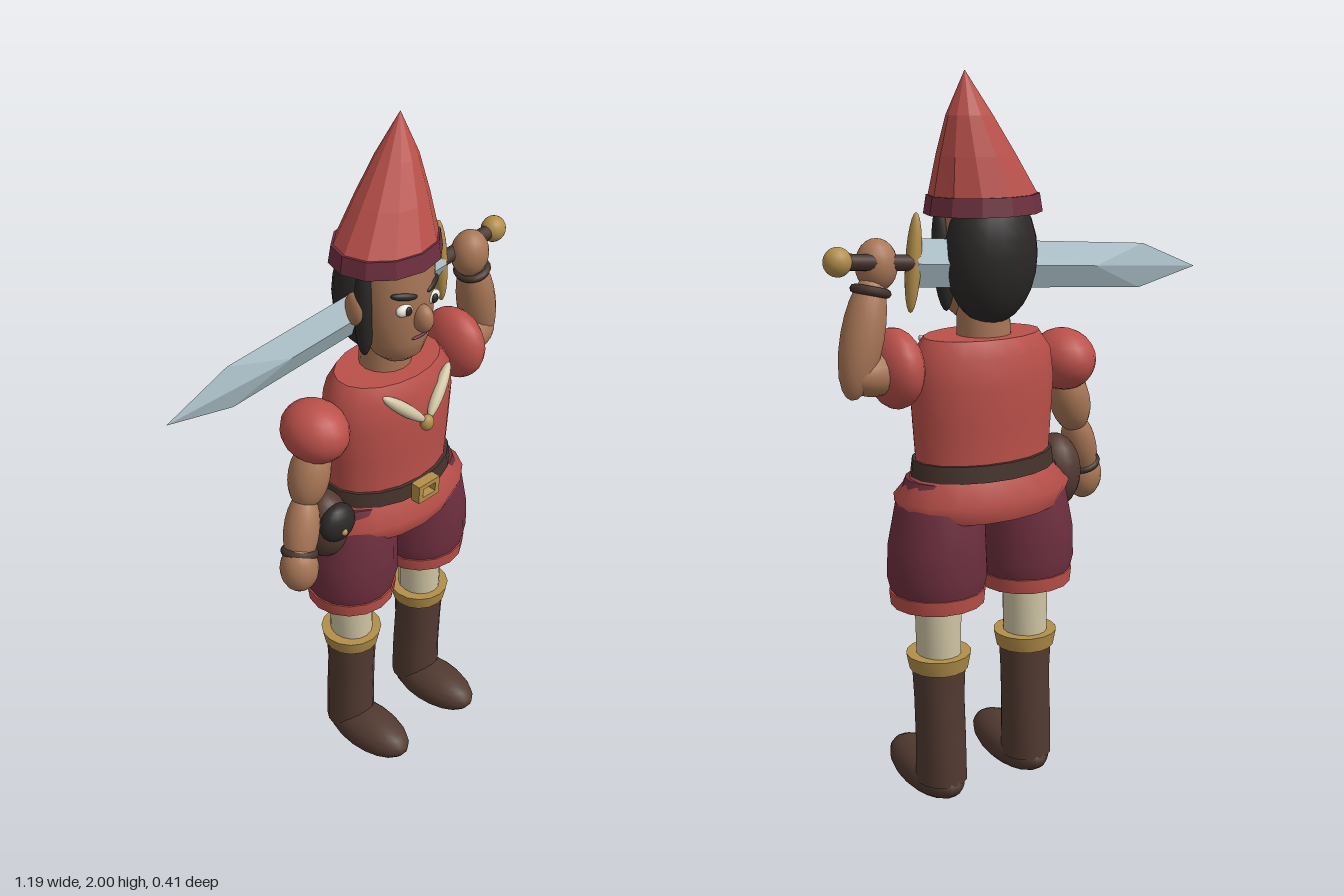
import * as THREE from 'three';

const RED = 0xbb504a, WINE = 0x6e2f3f, SKIN = 0xa87656, BROWN = 0x523a31, GOLD = 0xb28e4a;
const CREAM = 0xd0c5a5, STEEL = 0xa9bec6, HAIR = 0x2b2827, STRAP = 0x45332c, WHITE = 0xe8e4da;
const CX = 0.12; // the body's own centre line
const V = (p) => new THREE.Vector3(...p);

function add(parent, name, geometry, color, flatShading = false) {
  const mesh = new THREE.Mesh(geometry, new THREE.MeshStandardMaterial({ color, flatShading }));
  mesh.name = name;
  parent.add(mesh);
  return mesh;
}

function ball(parent, name, color, pos, radii) {
  const mesh = add(parent, name, new THREE.SphereGeometry(1, 18, 12), color);
  mesh.position.set(...pos);
  mesh.scale.set(...radii);
  return mesh;
}

// Ellipsoid stretched between two end points
function limb(parent, name, color, a, b, r) {
  const d = V(b).sub(V(a));
  const mid = V(a).add(V(b)).multiplyScalar(0.5);
  const mesh = ball(parent, name, color, mid.toArray(), [r, d.length() / 2, r]);
  mesh.quaternion.setFromUnitVectors(new THREE.Vector3(0, 1, 0), d.normalize());
  return mesh;
}

// Skin over elliptical rings [x, y, z, rx, rz], bottom to top, closed at both ends
function loft(parent, name, color, rings, n = 16, flat = false) {
  const first = rings[0], last = rings[rings.length - 1];
  const cap = (r) => [r[0], r[1], r[2], 0, 0];
  const all = [cap(first), first, first, ...rings.slice(1), last, cap(last)];
  const pos = [], index = [];
  all.forEach(([x, y, z, rx, rz], k) => {
    for (let i = 0; i < n; i++) {
      const t = (i / n) * Math.PI * 2;
      pos.push(x + rx * Math.sin(t), y, z + rz * Math.cos(t));
      if (k === all.length - 1) continue;
      const a = k * n + i, b = k * n + ((i + 1) % n);
      index.push(a, b, a + n, b, b + n, a + n);
    }
  });
  const g = new THREE.BufferGeometry();
  g.setAttribute('position', new THREE.Float32BufferAttribute(pos, 3));
  g.setIndex(index);
  g.computeVertexNormals();
  return add(parent, name, g, color, flat);
}

function group(parent, name) {
  const g = new THREE.Group();
  g.name = name;
  parent.add(g);
  return g;
}

function buildLeg(root, side) {
  const g = group(root, side > 0 ? 'leftLeg' : 'rightLeg');
  const x = CX + side * 0.145, z = -0.03;
  loft(g, 'shorts', WINE, [[x, 0.63, z, 0.127, 0.122], [x, 0.68, z, 0.139, 0.134],
    [x, 0.77, z, 0.135, 0.133], [x - side * 0.01, 0.88, z, 0.12, 0.125], [x - side * 0.02, 0.95, z, 0.1, 0.1]]);
  loft(g, 'shortsHem', RED, [[x, 0.6, z, 0.13, 0.125], [x, 0.64, z, 0.134, 0.129]]);
  loft(g, 'stocking', CREAM, [[x, 0.4, z, 0.06, 0.065], [x, 0.62, z, 0.064, 0.068]]);
  loft(g, 'bootShaft', BROWN, [[x, 0.07, z - 0.005, 0.072, 0.076], [x, 0.2, z - 0.005, 0.07, 0.074],
    [x, 0.32, z, 0.07, 0.072], [x, 0.42, z, 0.075, 0.076]]);
  loft(g, 'bootCuff', GOLD, [[x, 0.405, z, 0.081, 0.081], [x, 0.45, z, 0.09, 0.09]]);
  const foot = ball(g, 'foot', BROWN, [x, 0.07, 0.045], [0.078, 0.066, 0.161]);
  foot.rotation.x = -0.07;
}

function buildTorso(root) {
  const z = -0.035;
  const ring = (y, r) => [CX, y, z, r, r * 0.655];
  loft(root, 'tunic', RED, [ring(0.845, 0.235), ring(0.9, 0.265), ring(0.96, 0.208), ring(1.0, 0.2),
    ring(1.1, 0.207), ring(1.2, 0.213), ring(1.28, 0.203), ring(1.325, 0.17)], 18);
  loft(root, 'belt', STRAP, [[CX, 0.955, z, 0.213, 0.146], [CX, 1.0, z, 0.207, 0.142]], 18);

  // Square open buckle
  const s = new THREE.Shape();
  s.moveTo(-0.04, -0.028).lineTo(0.04, -0.028).lineTo(0.04, 0.028).lineTo(-0.04, 0.028).closePath();
  const hole = new THREE.Path();
  hole.moveTo(-0.024, -0.014).lineTo(-0.024, 0.014).lineTo(0.024, 0.014).lineTo(0.024, -0.014).closePath();
  s.holes.push(hole);
  const buckle = add(root, 'buckle', new THREE.ExtrudeGeometry(s, { depth: 0.03, bevelEnabled: false }), GOLD);
  buckle.position.set(CX, 0.974, 0.105);

  // Collar leaves and bead
  for (const side of [-1, 1]) {
    limb(root, 'collar', CREAM, [CX + side * 0.126, 1.312, 0.075], [CX + side * 0.008, 1.205, 0.118], 0.018);
  }
  ball(root, 'collarBead', GOLD, [CX, 1.195, 0.118], [0.021, 0.024, 0.018]);

  // Hip pouch
  const pouch = group(root, 'pouch');
  ball(pouch, 'pouchBag', BROWN, [-0.128, 0.903, -0.03], [0.07, 0.107, 0.078]);
  ball(pouch, 'pouchFlap', HAIR, [-0.128, 0.935, 0.025], [0.058, 0.058, 0.038]);
  ball(pouch, 'pouchButton', GOLD, [-0.135, 0.925, 0.063], [0.01, 0.01, 0.008]);
}

function buildArms(root) {
  const right = group(root, 'rightArm');
  ball(right, 'sleeve', RED, [-0.148, 1.222, -0.035], [0.087, 0.086, 0.102]);
  limb(right, 'upperArm', SKIN, [-0.15, 1.2, -0.03], [-0.21, 1.005, -0.02], 0.058);
  limb(right, 'forearm', SKIN, [-0.195, 1.055, -0.025], [-0.272, 0.85, 0.02], 0.05);
  ball(right, 'hand', SKIN, [-0.27, 0.856, 0.025], [0.054, 0.072, 0.054]);

  const left = group(root, 'leftArm');
  ball(left, 'sleeve', RED, [0.39, 1.262, -0.04], [0.066, 0.105, 0.105]);
  limb(left, 'upperArm', SKIN, [0.36, 1.25, -0.04], [0.555, 1.265, -0.055], 0.058);
  limb(left, 'forearm', SKIN, [0.528, 1.2, -0.058], [0.445, 1.515, -0.04], 0.056);
  ball(left, 'hand', SKIN, [0.434, 1.53, -0.035], [0.055, 0.067, 0.052]);

  // Wrist straps
  const straps = [[right, [-0.256, 0.897, 0.012], [-0.07, -0.2, 0.04]], [left, [0.458, 1.468, -0.045], [-0.08, 0.3, 0.02]]];
  for (const [arm, at, along] of straps) {
    const strap = add(arm, 'wristStrap', new THREE.TorusGeometry(0.041, 0.012, 8, 18), STRAP);
    strap.position.set(...at);
    strap.quaternion.setFromUnitVectors(new THREE.Vector3(0, 0, 1), V(along).normalize());
  }
}

function buildSword(root) {
  const g = group(root, 'sword');
  g.position.set(0.556, 1.55, -0.06);
  g.rotation.z = 0.0907;
  ball(g, 'pommel', GOLD, [0, 0, 0], [0.037, 0.037, 0.034]);
  const grip = add(g, 'grip', new THREE.CylinderGeometry(0.021, 0.021, 0.2, 12), STRAP);
  grip.rotation.z = Math.PI / 2;
  grip.position.x = -0.12;
  ball(g, 'guard', GOLD, [-0.215, 0, 0], [0.02, 0.127, 0.022]);

  // Diamond blade: the edges run further than the ridges before the point
  const w = 0.062, t = 0.027;
  const corners = [[w, 0, -0.96], [0, t, -0.78], [-w, 0, -0.96], [0, -t, -0.78]];
  const pos = [], tip = [-1.16, 0, 0];
  corners.forEach(([y, z, end], i) => {
    const [y2, z2, end2] = corners[(i + 1) % 4];
    const a = [-0.215, y, z], b = [-0.215, y2, z2], c = [end, y, z], d = [end2, y2, z2];
    pos.push(...a, ...c, ...b, ...b, ...c, ...d, ...c, ...tip, ...d);
  });
  const blade = new THREE.BufferGeometry();
  blade.setAttribute('position', new THREE.Float32BufferAttribute(pos, 3));
  blade.computeVertexNormals();
  add(g, 'blade', blade, STEEL, true);
}

function buildHead(root) {
  const g = group(root, 'head');
  loft(g, 'neck', SKIN, [[CX, 1.3, -0.045, 0.075, 0.07], [CX, 1.45, -0.04, 0.07, 0.07]]);
  loft(g, 'face', SKIN, [[CX, 1.364, 0.005, 0.045, 0.04], [CX, 1.385, 0, 0.07, 0.068], [CX, 1.43, -0.005, 0.093, 0.085],
    [CX, 1.5, -0.01, 0.108, 0.097], [CX, 1.58, -0.01, 0.112, 0.1], [CX, 1.67, -0.015, 0.108, 0.095]], 20);
  ball(g, 'hair', HAIR, [CX, 1.535, -0.082], [0.131, 0.18, 0.099]);
  ball(g, 'nose', SKIN, [CX, 1.508, 0.092], [0.026, 0.04, 0.032]);
  const mouth = ball(g, 'mouth', WINE, [CX, 1.45, 0.081], [0.028, 0.005, 0.006]);
  mouth.rotation.x = -0.2;
  for (const side of [-1, 1]) {
    ball(g, 'ear', SKIN, [CX + side * 0.126, 1.535, -0.03], [0.019, 0.048, 0.032]);
    limb(g, 'sideburn', HAIR, [CX + side * 0.112, 1.67, -0.01], [CX + side * 0.1, 1.39, -0.02], 0.028);
    ball(g, 'eye', WHITE, [CX + side * 0.05, 1.545, 0.074], [0.028, 0.018, 0.015]);
    ball(g, 'pupil', HAIR, [CX + side * 0.048, 1.545, 0.087], [0.011, 0.013, 0.006]);
    limb(g, 'eyebrow', HAIR, [CX + side * 0.018, 1.577, 0.088], [CX + side * 0.085, 1.59, 0.058], 0.011);
  }
  // Leaning pointed hat with its band
  loft(g, 'hatBand', WINE, [[CX, 1.642, -0.045, 0.162, 0.137], [CX, 1.69, -0.045, 0.154, 0.13]], 12, true);
  loft(g, 'hat', RED, [[CX, 1.685, -0.045, 0.15, 0.126], [0.148, 1.79, -0.055, 0.107, 0.092],
    [0.174, 1.89, -0.065, 0.062, 0.054], [0.19, 2.0, -0.07, 0, 0]], 12, true);
}

export function createModel() {
  const root = new THREE.Group();
  root.name = 'figure';
  buildLeg(root, 1);
  buildLeg(root, -1);
  buildTorso(root);
  buildArms(root);
  buildSword(root);
  buildHead(root);
  return root;
}
